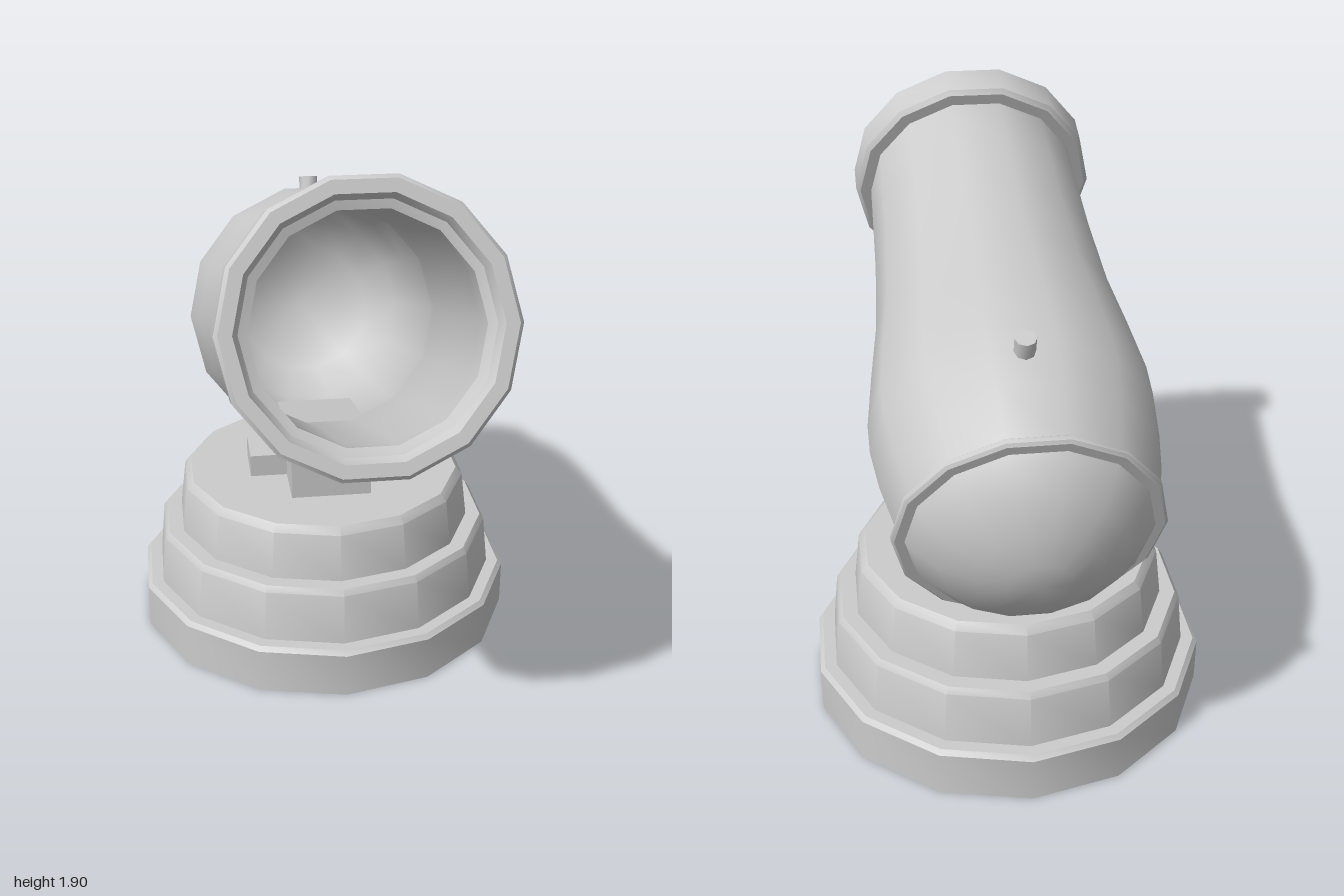
import * as THREE from 'three';
import { toCreasedNormals } from 'three/addons/utils/BufferGeometryUtils.js';

const SIDES = 14;
const TILT = THREE.MathUtils.degToRad(18.7);
const material = new THREE.MeshStandardMaterial({ color: 0xcccccc });
const openMaterial = new THREE.MeshStandardMaterial({ color: 0xcccccc, side: THREE.DoubleSide });

function addMesh(parent, name, geometry, mat = material) {
  const mesh = new THREE.Mesh(geometry, mat);
  mesh.name = name;
  parent.add(mesh);
  return mesh;
}

// Turned part from [radius, height] pairs, smooth around and sharp at steps
function turned(points, phiStart = 0) {
  const profile = points.map(([r, y]) => new THREE.Vector2(r, y));
  return toCreasedNormals(new THREE.LatheGeometry(profile, SIDES, phiStart), 0.65);
}

export function createModel() {
  const model = new THREE.Group();
  model.name = 'cannon';

  // Hollow three-tier base, open underneath
  const base = addMesh(model, 'steppedBase', turned([
    [0.675, 0], [0.675, 0.155], [0.66, 0.17], [0.618, 0.17],
    [0.6, 0.345], [0.585, 0.365], [0.533, 0.365],
    [0.513, 0.53], [0.49, 0.555], [0, 0.555],
  ]), openMaterial);
  base.position.z = -0.235;

  // Pedestal with a top sloping along the underside of the barrel
  const side = new THREE.Shape([
    [-0.035, 0.54], [0.505, 0.54], [0.505, 0.68], [-0.035, 0.81],
  ].map(([x, y]) => new THREE.Vector2(x, y)));
  const pedestal = new THREE.ExtrudeGeometry(side, { depth: 0.28, bevelEnabled: false });
  pedestal.translate(0, 0, -0.14).rotateY(Math.PI / 2);
  addMesh(model, 'pedestal', pedestal);

  // Small blocks on both sides of the pedestal
  for (const s of [-1, 1]) {
    const block = addMesh(model, s > 0 ? 'leftBlock' : 'rightBlock',
      new THREE.BoxGeometry(0.14, 0.09, 0.175));
    block.position.set(s * 0.2, 0.59, -0.235);
  }

  // Tilted barrel group: local y runs along the bore, 0 is the muzzle face
  const barrel = new THREE.Group();
  barrel.name = 'barrelAssembly';
  barrel.position.set(0, 1.51, 0.862);
  barrel.rotation.x = Math.PI / 2 - TILT;
  model.add(barrel);

  // Rear dome, swelling body, muzzle rim and bore in one profile
  addMesh(barrel, 'barrel', turned([
    [0, -1.95], [0.1, -1.94], [0.19, -1.905], [0.285, -1.85], [0.36, -1.775], [0.39, -1.72],
    [0.435, -1.54], [0.455, -1.4], [0.456, -1.29], [0.432, -1.08],
    [0.403, -0.86], [0.386, -0.57], [0.381, -0.36], [0.376, -0.14],
    [0.415, -0.14], [0.43, -0.125], [0.43, -0.012], [0.418, 0],
    [0.378, 0], [0.362, -0.03], [0.335, -0.04],
    [0.337, -0.15], [0.35, -0.6], [0.385, -1.08], [0.415, -1.29],
    [0.395, -1.52], [0.355, -1.72], [0.25, -1.84], [0, -1.92],
  ], Math.PI / 2));

  // Thin band between body and dome
  addMesh(barrel, 'rearBand', turned([
    [0.37, -1.748], [0.405, -1.748], [0.415, -1.74], [0.415, -1.724], [0.405, -1.715], [0.37, -1.715],
  ], Math.PI / 2));

  // Fuse stub standing on top of the barrel
  const fuse = addMesh(barrel, 'fuse', toCreasedNormals(
    new THREE.CylinderGeometry(0.033, 0.033, 0.1, 8).rotateX(-Math.PI / 2), 0.9));
  fuse.position.set(0, -1.425, -0.442);

  return model;
}
